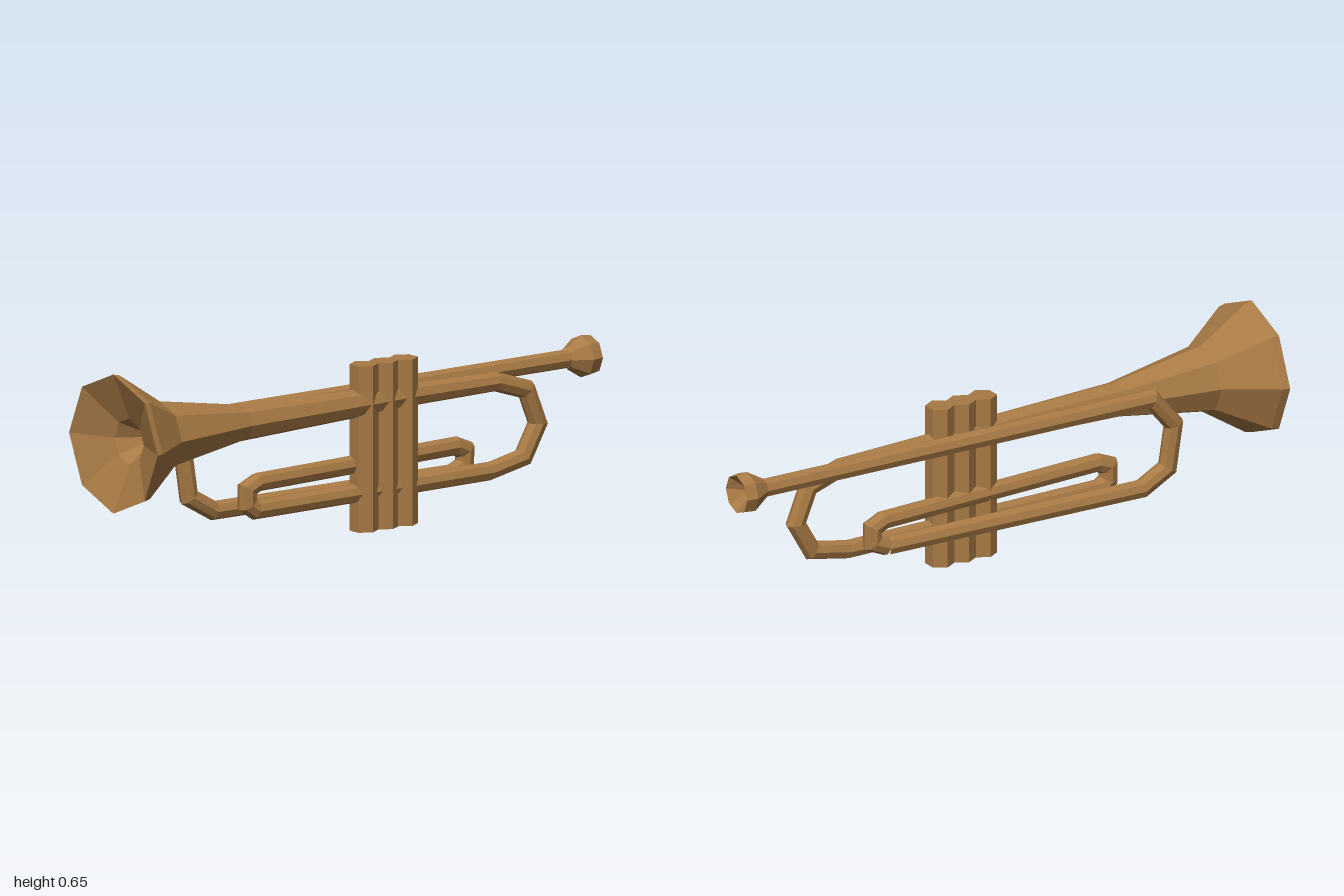
import * as THREE from 'three';

const brass = new THREE.MeshStandardMaterial({ color: 0xa87a45, flatShading: true });
const SIDES = 8;
const AXIS_Y = 0.418;

// Faceted tube through [x, y, z, radius] points, mitred at the bends.
function sweep(name, path) {
  const pts = path.map(p => new THREE.Vector3(p[0], p[1], p[2]));
  const n = pts.length, pos = [], idx = [];
  const dir = i => pts[i + 1].clone().sub(pts[i]).normalize();
  for (let i = 0; i < n; i++) {
    const before = dir(Math.max(i - 1, 0)), after = dir(Math.min(i, n - 2));
    const t = before.clone().add(after).normalize();
    const side = new THREE.Vector3(1, 0, 0).addScaledVector(t, -t.x).normalize();
    const up = t.clone().cross(side).divideScalar(t.dot(before));
    for (let k = 0; k < SIDES; k++) {
      const a = (k / SIDES) * Math.PI * 2, r = path[i][3];
      const v = pts[i].clone()
        .addScaledVector(side, r * Math.cos(a))
        .addScaledVector(up, r * Math.sin(a));
      pos.push(v.x, v.y, v.z);
    }
  }
  for (let i = 0; i < n - 1; i++) {
    for (let k = 0; k < SIDES; k++) {
      const a = i * SIDES + k, b = i * SIDES + (k + 1) % SIDES;
      idx.push(a, b, a + SIDES, b, b + SIDES, a + SIDES);
    }
  }
  const g = new THREE.BufferGeometry();
  g.setAttribute('position', new THREE.Float32BufferAttribute(pos, 3));
  g.setIndex(idx);
  g.computeVertexNormals();
  const mesh = new THREE.Mesh(g, brass);
  mesh.name = name;
  return mesh;
}

// Turned part along z from [radius, z] points.
function turned(name, profile, x, y) {
  const g = new THREE.LatheGeometry(profile.map(p => new THREE.Vector2(p[0], p[1])), SIDES);
  g.rotateX(Math.PI / 2);
  const mesh = new THREE.Mesh(g, brass);
  mesh.name = name;
  mesh.position.set(x, y, 0);
  return mesh;
}

export function createModel() {
  const model = new THREE.Group();
  model.name = 'trumpet';

  // Flared bell with a shallow dished mouth
  model.add(turned('bell', [
    [0.037, -0.2], [0.046, 0], [0.06, 0.48], [0.115, 0.81], [0.222, 0.975],
    [0.228, 1], [0.075, 0.935], [0, 0.82],
  ], 0, AXIS_Y));

  // Mouthpiece with a hollow cup
  model.add(turned('mouthpiece', [
    [0, -0.94], [0.064, -1], [0.069, -0.96], [0.033, -0.9],
  ], -0.058, 0.435));

  // Lead pipe: forward, down and back underneath
  const r = 0.031;
  model.add(sweep('leadPipe', [
    [-0.058, 0.435, -0.92, r], [-0.088, 0.432, 0.56, r],
    [-0.088, 0.33, 0.645, r], [-0.083, 0.18, 0.625, r],
    [-0.078, 0.125, 0.53, r], [-0.045, 0.125, -0.42, r],
  ]));

  // Tuning loop: up at the rear, forward, then down at the front
  model.add(sweep('tuningLoop', [
    [-0.045, 0.125, -0.42, r], [-0.043, 0.148, -0.472, r],
    [-0.042, 0.197, -0.472, r], [-0.04, 0.215, -0.43, r],
    [0, 0.215, 0.41, r], [0, 0.197, 0.452, r],
    [0, 0.147, 0.452, r], [0, 0.125, 0.42, r],
    [0, 0.125, 0, r],
  ]));

  // Rear crook joining the lower tube to the bell
  model.add(sweep('rearCrook', [
    [0, 0.125, 0, r], [0, 0.125, -0.54, r],
    [0, 0.152, -0.677, r], [0, 0.257, -0.737, r],
    [0, 0.373, -0.69, r], [0, 0.414, -0.565, r],
    [0, AXIS_Y, -0.2, 0.037],
  ]));

  // Three hexagonal valve casings set flat to flat
  const valveR = 0.047, valveH = 0.545;
  const pitch = valveR * Math.sqrt(3);
  for (let i = 0; i < 3; i++) {
    const g = new THREE.CylinderGeometry(valveR, valveR, valveH, 6);
    g.rotateY(Math.PI / 2);
    const valve = new THREE.Mesh(g, brass);
    valve.name = 'valve' + (i + 1);
    valve.position.set(0, valveH / 2, -0.107 + (1 - i) * pitch);
    model.add(valve);
  }
  return model;
}
